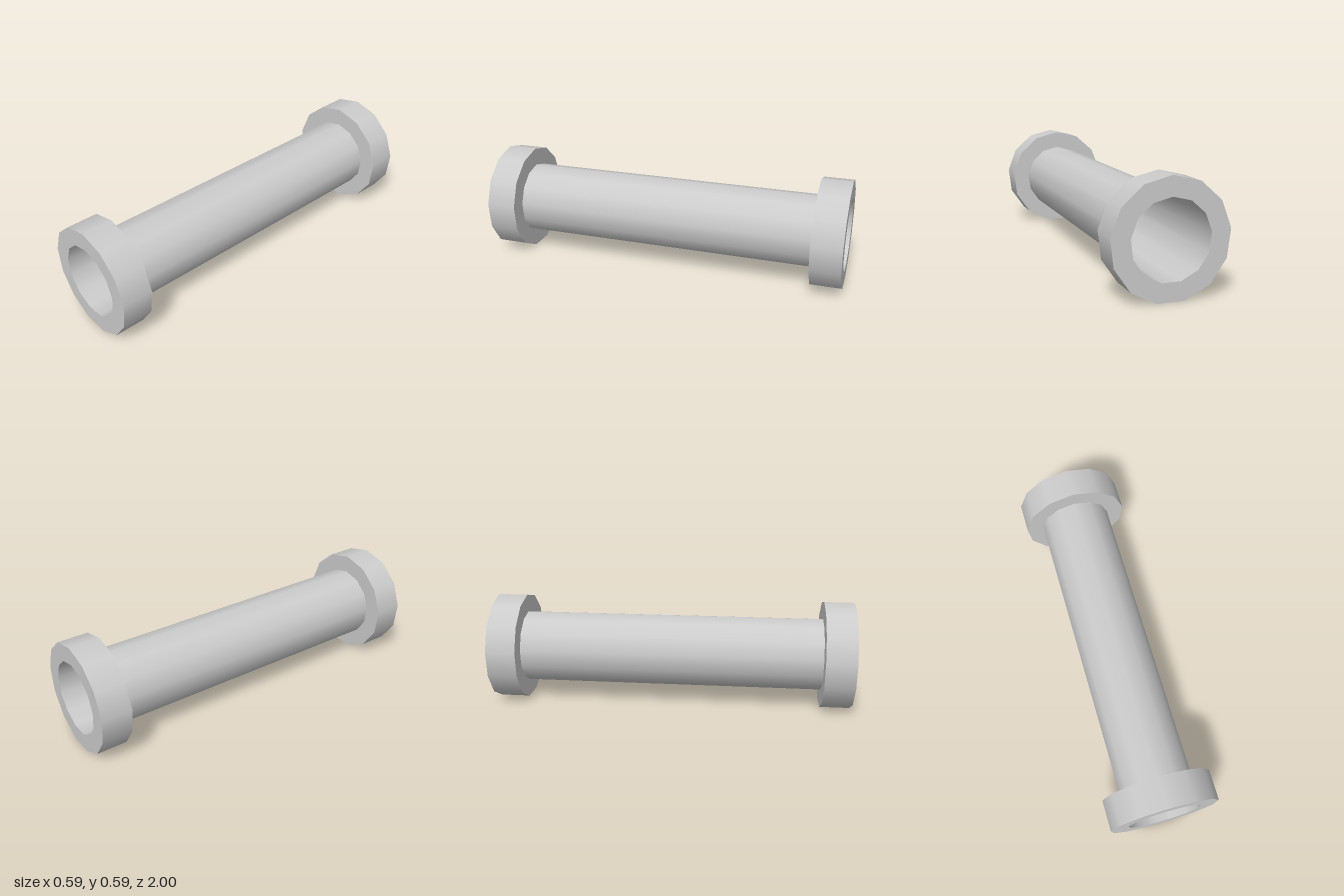
import * as THREE from 'three';
import { mergeGeometries } from 'three/addons/utils/BufferGeometryUtils.js';

const SIDES = 13;
const OUTER = 0.298, BORE = 0.2;
const CENTRE_Y = OUTER * Math.cos(Math.PI / SIDES); // rests on a flat side
const COLLAR = 0.165; // collar length along z
const PIPE_END = 0.865; // the pipe reaches a little way into each collar

// Revolves each profile edge on its own: smooth around the axis, sharp at corners.
// The axis runs along z, with one vertex at the top.
function revolve(points) {
  const walls = [];
  for (let i = 0; i < points.length - 1; i++) {
    const edge = [points[i], points[i + 1]].map(([r, z]) => new THREE.Vector2(r, z));
    walls.push(new THREE.LatheGeometry(edge, SIDES, Math.PI));
  }
  return mergeGeometries(walls).rotateX(Math.PI / 2);
}

export function createModel() {
  const group = new THREE.Group();
  group.name = 'flangedPipe';
  const material = new THREE.MeshStandardMaterial({ color: 0xcccccc });
  const thin = new THREE.MeshStandardMaterial({ color: 0xcccccc, side: THREE.DoubleSide });

  const add = (name, geometry, mat, z) => {
    const mesh = new THREE.Mesh(geometry, mat);
    mesh.name = name;
    mesh.position.set(0, CENTRE_Y, z);
    group.add(mesh);
  };

  // Thin open pipe
  add('pipe', revolve([[BORE, -PIPE_END], [BORE, PIPE_END]]), thin, 0);

  // Thick ring collar at each end
  const h = COLLAR / 2;
  const collar = revolve([[BORE, -h], [OUTER, -h], [OUTER, h], [BORE, h], [BORE, -h]]);
  add('frontCollar', collar, material, 1 - h);
  add('backCollar', collar, material, h - 1);

  return group;
}
